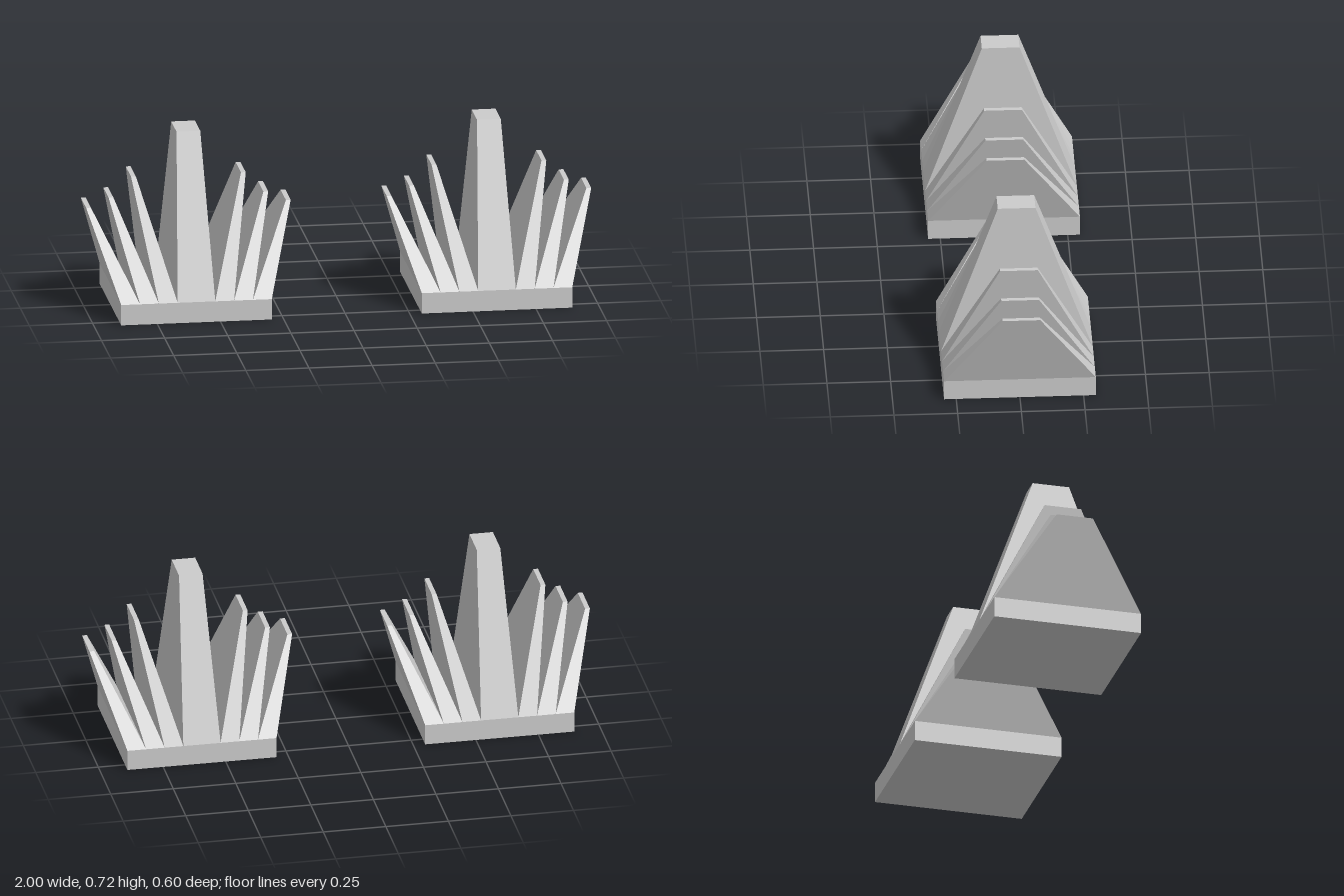
import * as THREE from 'three';

const BASE_HALF = 0.298, BASE_TOP = 0.083, CELL = BASE_HALF / 4, TIP_HALF_Z = 0.074;
const material = new THREE.MeshStandardMaterial({ color: 0xcccccc, flatShading: true });

// Box without one hidden face (2 = top, 3 = bottom)
function openBox(w, h, d, hiddenFace) {
  const g = new THREE.BoxGeometry(w, h, d);
  const index = Array.from(g.index.array);
  index.splice(hiddenFace * 6, 6);
  g.setIndex(index);
  g.clearGroups();
  return g;
}

// Tapered blade from a strip of the base top [x0, x1] to a narrower tip [t0, t1]
function blade(name, x0, x1, t0, t1, tipY) {
  const g = openBox(1, 1, 1, 3);
  const p = g.attributes.position;
  for (let i = 0; i < p.count; i++) {
    const top = p.getY(i) > 0;
    const [a, b] = top ? [t0, t1] : [x0, x1];
    p.setXYZ(i,
      p.getX(i) < 0 ? a : b,
      top ? tipY : BASE_TOP,
      Math.sign(p.getZ(i)) * (top ? TIP_HALF_Z : BASE_HALF));
  }
  g.computeVertexNormals();
  const mesh = new THREE.Mesh(g, material);
  mesh.name = name;
  return mesh;
}

// One spiky block: square base, tall central blade, three leaning fins per side
function spikyBlock(name, x) {
  const group = new THREE.Group();
  group.name = name;
  group.position.x = x;

  const base = new THREE.Mesh(openBox(BASE_HALF * 2, BASE_TOP, BASE_HALF * 2, 2), material);
  base.name = 'base';
  base.position.y = BASE_TOP / 2;
  group.add(base);

  group.add(blade('centralBlade', -CELL, CELL, -0.047, 0.047, 0.716));

  // Inner, middle and outer fins: [tip inner x, tip outer x, tip height]
  const fins = [[0.208, 0.227, 0.54], [0.297, 0.316, 0.458], [0.386, 0.405, 0.42]];
  fins.forEach(([t0, t1, y], i) => {
    const x0 = CELL * (i + 1), x1 = CELL * (i + 2);
    group.add(blade('leftFin' + (i + 1), x0, x1, t0, t1, y));
    group.add(blade('rightFin' + (i + 1), -x1, -x0, -t1, -t0, y));
  });
  return group;
}

export function createModel() {
  const model = new THREE.Group();
  model.name = 'spikyBlockPair';
  model.add(spikyBlock('leftBlock', 0.595), spikyBlock('rightBlock', -0.595));
  return model;
}
